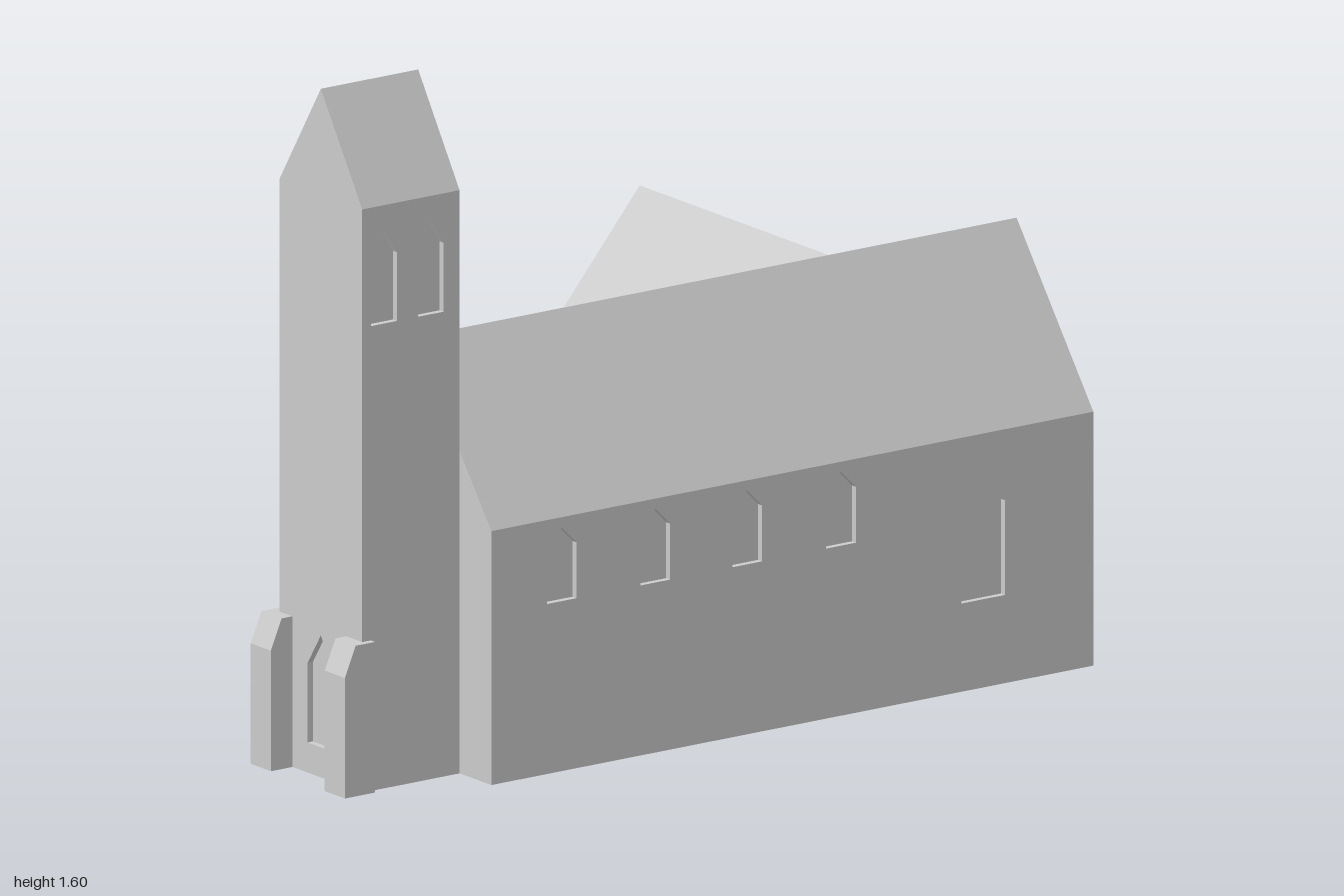
import * as THREE from 'three';

const stone = new THREE.MeshStandardMaterial({ color: 0xcccccc });
stone.name = 'stone';

const D = 0.015; // depth of the window recesses

function polygon(points) {
  return new THREE.Shape(points.map(([x, y]) => new THREE.Vector2(x, y)));
}

// pointed opening: centre, sill, spring line, apex, width
function lancet(c, sill, spring, apex, w) {
  const h = w / 2;
  return polygon([[c - h, sill], [c + h, sill], [c + h, spring], [c, apex], [c - h, spring]]);
}

function extrude(name, shape, depth) {
  const geometry = new THREE.ExtrudeGeometry(shape, { depth, bevelEnabled: false });
  const mesh = new THREE.Mesh(geometry, stone);
  mesh.name = name;
  return mesh;
}

// shape drawn in (-z, y), extruded from x0 to x1
function alongX(name, shape, x0, x1) {
  const mesh = extrude(name, shape, x1 - x0);
  mesh.rotation.y = Math.PI / 2;
  mesh.position.x = x0;
  return mesh;
}

// shape drawn in (x, y), extruded from z0 to z1
function alongZ(name, shape, z0, z1) {
  const mesh = extrude(name, shape, z1 - z0);
  mesh.position.z = z0;
  return mesh;
}

// gabled section; the walls below the eaves can be set in to leave room for wall panels
function gable(a, b, eave, ridge, insetA = 0, insetB = 0) {
  const pts = [[a + insetA, 0], [b - insetB, 0], [b - insetB, eave]];
  if (insetB) pts.push([b, eave]);
  pts.push([(a + b) / 2, ridge]);
  if (insetA) pts.push([a, eave]);
  pts.push([a + insetA, eave]);
  return polygon(pts);
}

function wallPanel(name, x0, x1, height, holes, z0) {
  const shape = polygon([[x0, 0], [x1, 0], [x1, height], [x0, height]]);
  shape.holes.push(...holes);
  return alongZ(name, shape, z0, z0 + D);
}

export function createModel() {
  const model = new THREE.Group();
  model.name = 'church';

  // nave with a windowed front wall
  const nave = new THREE.Group();
  nave.name = 'nave';
  const naveWindows = [-0.475, -0.215, 0.04, 0.3].map(x => lancet(x, 0.395, 0.525, 0.567, 0.082));
  naveWindows.push(lancet(0.695, 0.205, 0.425, 0.515, 0.12));
  nave.add(
    alongX('naveBody', gable(-0.71, -0.13, 0.59, 0.975, D, 0), -0.67, 1),
    wallPanel('naveFrontWall', -0.67, 1, 0.59, naveWindows, 0.71 - D)
  );
  model.add(nave);

  // rear wing
  model.add(alongZ('rearWing', gable(0.567, 1, 0.575, 0.83), -0.71, 0.14));

  // tower with belfry openings front and back and a niche at the end
  const tower = new THREE.Group();
  tower.name = 'tower';
  const zBack = 0.277, zFront = 0.59, xEnd = -0.94, xNave = -0.67, eave = 1.355;
  const section = () => gable(-zFront, -zBack, eave, 1.6, D, D);
  const endSection = section();
  endSection.holes.push(lancet(-(zBack + zFront) / 2, 0.07, 0.255, 0.33, 0.1));
  const belfry = () => [-0.88, -0.75].map(x => lancet(x, 1.08, 1.24, 1.297, 0.072));
  tower.add(
    alongX('towerBody', section(), xEnd + D, xNave),
    alongX('towerEndWall', endSection, xEnd, xEnd + D),
    wallPanel('towerFrontWall', xEnd, xNave, eave, belfry(), zFront - D),
    wallPanel('towerBackWall', xEnd, xNave, eave, belfry(), zBack)
  );
  model.add(tower);

  // corner buttresses with sloped caps
  for (const z of [0.25, 0.53]) {
    const side = polygon([[-1, 0], [-0.916, 0], [-0.916, 0.35], [-0.97, 0.35], [-1, 0.28]]);
    model.add(alongZ('buttress', side, z, z + 0.076));
  }
  return model;
}
